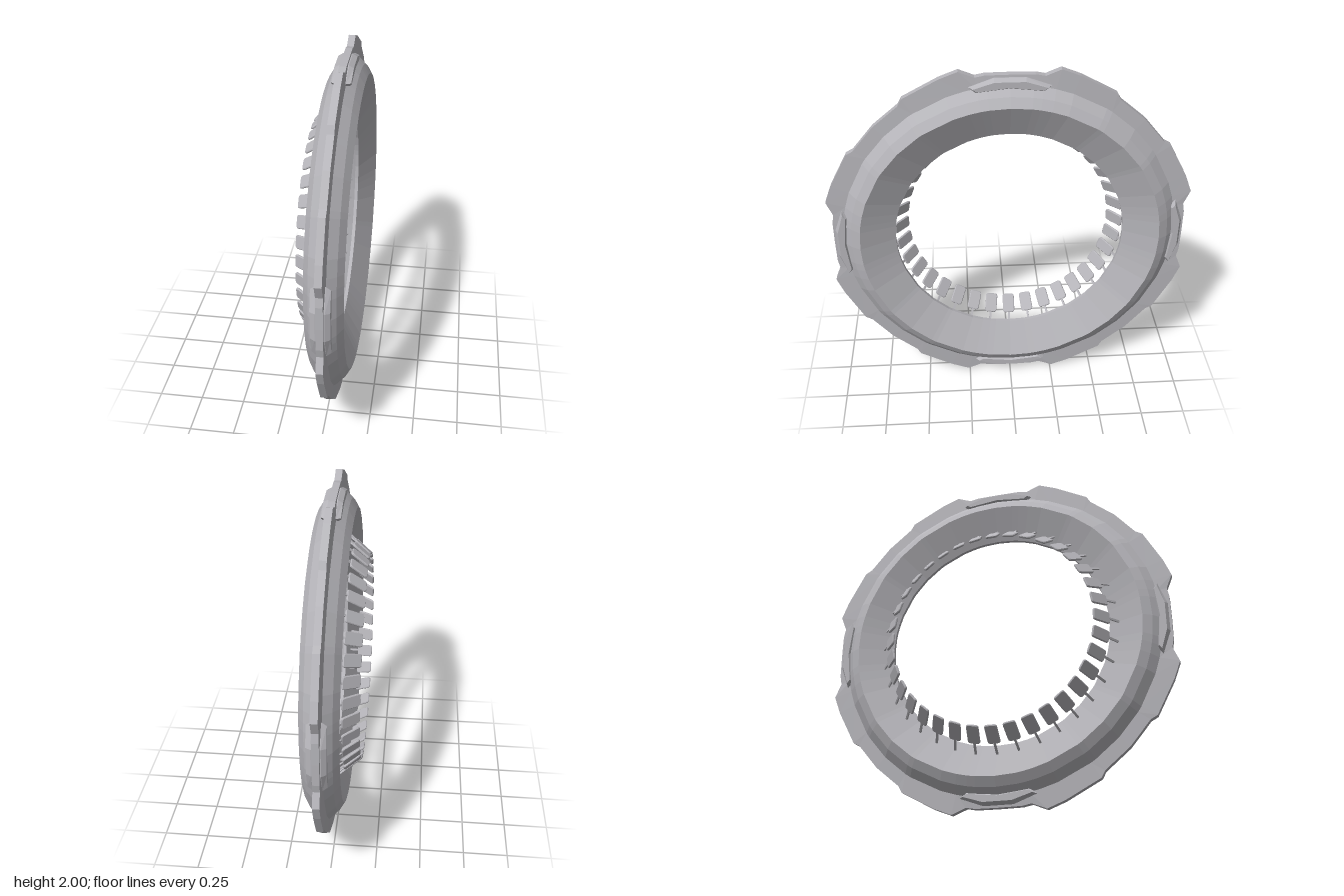
import * as THREE from 'three';

export function createModel() {
  const model = new THREE.Group();
  const metal = new THREE.MeshStandardMaterial({ color: 0xb6b5ba, flatShading: true });
  metal.name = 'pale grey metal';

  // Rim outline for one eighth turn: [degrees from the quarter axis, radius]
  const eighth = [[0, 0.978], [7.5, 0.985], [10.5, 0.983], [14.6, 1.033],
    [20.5, 1.026], [32.6, 1.02], [34.8, 1.0], [45, 1.0]];
  const quarter = [...eighth, ...eighth.slice(1, -1).reverse().map(([a, r]) => [90 - a, r])];
  const outline = [];
  for (let q = 0; q < 4; q++) for (const [a, r] of quarter) outline.push([a + q * 90, r]);

  // Closed cross-section of the ring: [x, radius], null = follow the rim outline
  const section = [[0.04, 0.64], [0.135, 0.83], [0.105, 0.88], [0.06, 0.925], [0.055, null],
    [0.018, null], [0.01, 0.925], [-0.035, 0.88], [-0.065, 0.83], [0.02, 0.64]];

  function ringGeometry() {
    const pos = [], index = [], m = section.length, n = outline.length;
    for (const [deg, rim] of outline) {
      const t = THREE.MathUtils.degToRad(deg);
      for (const [x, r] of section) {
        const rr = r ?? rim;
        pos.push(x, 1 + rr * Math.cos(t), rr * Math.sin(t));
      }
    }
    for (let i = 0; i < n; i++) for (let j = 0; j < m; j++) {
      const i2 = (i + 1) % n, j2 = (j + 1) % m;
      const a = i * m + j, b = i * m + j2, c = i2 * m + j2, d = i2 * m + j;
      index.push(a, b, c, a, c, d);
    }
    const g = new THREE.BufferGeometry();
    g.setAttribute('position', new THREE.Float32BufferAttribute(pos, 3));
    g.setIndex(index);
    g.computeVertexNormals();
    return g;
  }

  function add(parent, name, geometry) {
    const mesh = new THREE.Mesh(geometry, metal);
    mesh.name = name;
    parent.add(mesh);
    return mesh;
  }

  // Group turned about the ring axis
  function spoke(name, angle) {
    const g = new THREE.Group();
    g.name = name;
    g.position.y = 1;
    g.rotation.x = angle;
    model.add(g);
    return g;
  }

  add(model, 'ring', ringGeometry());

  // Four wedge-shaped blocks set into the rim
  const wedge = new THREE.Shape([[-0.17, 0.9], [0, 0.92], [0.17, 0.9], [0.19, 0.915],
    [0.08, 0.95], [-0.08, 0.95], [-0.19, 0.915]].map(([x, y]) => new THREE.Vector2(x, y)));
  const wedgeGeo = new THREE.ExtrudeGeometry(wedge, {
    depth: 0.05, bevelEnabled: true, bevelThickness: 0.025, bevelSize: 0.015, bevelSegments: 1 });
  wedgeGeo.translate(0, 0, -0.025).rotateY(Math.PI / 2).translate(0.036, 0, 0);
  for (let i = 0; i < 4; i++) add(spoke('rimBlock', i * Math.PI / 2), 'wedge', wedgeGeo);

  // Rounded plate: length along y, width along x
  const w = 0.035, h = 0.058, c = 0.016;
  const plate = new THREE.Shape();
  plate.moveTo(-w + c, -h);
  plate.lineTo(w - c, -h);
  plate.quadraticCurveTo(w, -h, w, -h + c);
  plate.lineTo(w, h - c);
  plate.quadraticCurveTo(w, h, w - c, h);
  plate.lineTo(-w + c, h);
  plate.quadraticCurveTo(-w, h, -w, h - c);
  plate.lineTo(-w, -h + c);
  plate.quadraticCurveTo(-w, -h, -w + c, -h);
  const plateGeo = new THREE.ExtrudeGeometry(plate, {
    depth: 0.006, bevelEnabled: true, bevelThickness: 0.004, bevelSize: 0.004,
    bevelOffset: -0.004, bevelSegments: 1, curveSegments: 3 });
  plateGeo.translate(0, 0, -0.003).rotateY(Math.PI / 2);
  const stemGeo = new THREE.BoxGeometry(0.008, 0.1, 0.012);

  // Leaning fingers around the inner edge, each held by a thin stem
  const lean = -Math.atan2(0.09, 0.075);
  for (let i = 0; i < 36; i++) {
    const finger = spoke('finger', i * Math.PI / 18);
    const tilt = new THREE.Group();
    tilt.name = 'leaningFinger';
    tilt.position.set(-0.1, 0.613, 0);
    tilt.rotation.z = lean;
    finger.add(tilt);
    add(tilt, 'plate', plateGeo);
    add(tilt, 'stem', stemGeo).position.y = 0.085;
  }
  return model;
}
